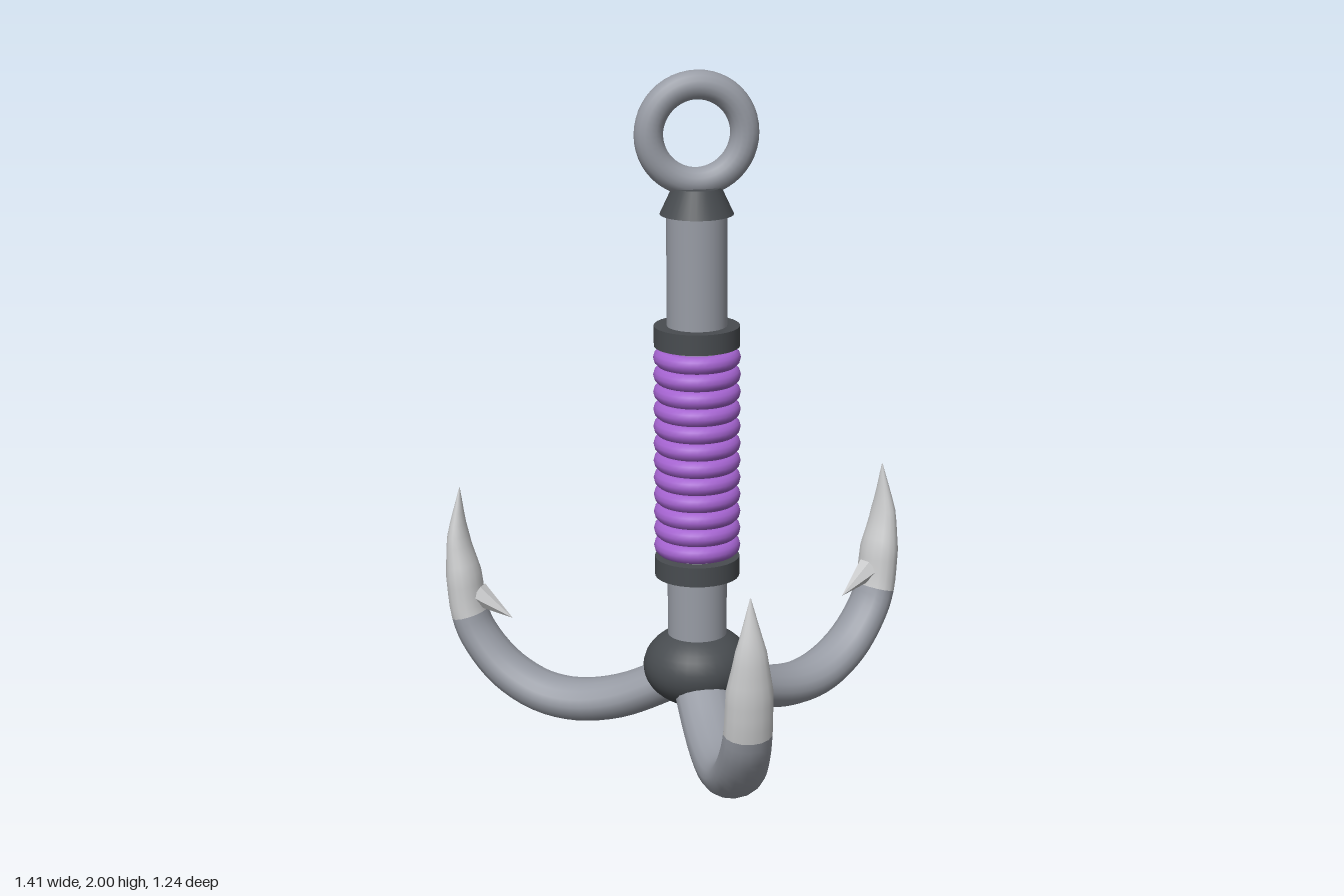
import * as THREE from 'three';

const mat = (name, color, extra = {}) => {
  const m = new THREE.MeshStandardMaterial({ color, ...extra });
  m.name = name;
  return m;
};

// Prong stations: [radial distance, height, half thickness, half width]
const PRONG = [
  [0.00, 0.225, 0.064, 0.084], [0.13, 0.150, 0.064, 0.084], [0.25, 0.095, 0.064, 0.083],
  [0.38, 0.068, 0.063, 0.081], [0.50, 0.080, 0.062, 0.079], [0.61, 0.136, 0.060, 0.076],
  [0.69, 0.220, 0.057, 0.072], [0.732, 0.305, 0.055, 0.069], [0.750, 0.43, 0.052, 0.066],
  [0.765, 0.55, 0.031, 0.044], [0.757, 0.70, 0.001, 0.001],
];
const TIP_START = 7;

// Elliptical tube through the stations, between two station indices
function loft(from, to, perStation = 4, sides = 16) {
  const path = new THREE.CatmullRomCurve3(PRONG.map(p => new THREE.Vector3(p[0], p[1], 0)), false, 'catmullrom');
  const rows = (to - from) * perStation, last = PRONG.length - 1;
  const pos = [], index = [];
  for (let i = 0; i <= rows; i++) {
    const s = from + i / perStation, k = Math.min(Math.floor(s), last - 1), f = s - k;
    const p = path.getPoint(s / last), t = path.getTangent(s / last);
    const n = THREE.MathUtils.lerp(PRONG[k][2], PRONG[k + 1][2], f);
    const w = THREE.MathUtils.lerp(PRONG[k][3], PRONG[k + 1][3], f);
    for (let j = 0; j < sides; j++) {
      const a = j / sides * Math.PI * 2, c = n * Math.cos(a);
      pos.push(p.x - t.y * c, p.y + t.x * c, w * Math.sin(a));
      if (i === rows) continue;
      const a0 = i * sides + j, b0 = i * sides + (j + 1) % sides;
      index.push(a0, b0, a0 + sides, b0, b0 + sides, a0 + sides);
    }
  }
  const g = new THREE.BufferGeometry();
  g.setAttribute('position', new THREE.Float32BufferAttribute(pos, 3));
  g.setIndex(index);
  g.computeVertexNormals();
  return g;
}

export function createModel() {
  const steel = mat('steel', 0x989ca5);
  const dark = mat('dark iron', 0x484c50);
  const wrap = mat('purple wrap', 0xa463cf);
  const bright = mat('sharpened steel', 0xcbcccd);
  const bladed = mat('barb steel', 0xcbcccd, { flatShading: true });
  bladed.color = bright.color;

  const model = new THREE.Group();
  model.name = 'grapplingHook';
  const body = new THREE.Group();
  body.name = 'body';
  body.position.z = -0.185;
  model.add(body);

  const add = (name, geo, material, y = 0, parent = body) => {
    const m = new THREE.Mesh(geo, material);
    m.name = name;
    m.position.y = y;
    parent.add(m);
    return m;
  };
  const band = (name, rTop, rBottom, y0, y1, material) =>
    add(name, new THREE.CylinderGeometry(rTop, rBottom, y1 - y0, 32), material, (y0 + y1) / 2);

  // Shaft with its collars and hub
  band('shaft', 0.087, 0.087, 0.25, 1.62, steel);
  band('topCap', 0.07, 0.106, 1.59, 1.667, dark);
  band('upperCollar', 0.124, 0.124, 1.205, 1.265, dark);
  band('lowerCollar', 0.124, 0.124, 0.512, 0.57, dark);
  add('hub', new THREE.SphereGeometry(0.16, 32, 20), dark, 0.228).scale.y = 0.75;

  // Rope eye
  add('eyeRing', new THREE.TorusGeometry(0.138, 0.042, 16, 48), steel, 1.82);

  // Wrapped grip
  for (let i = 0; i < 12; i++) {
    add('gripCoil', new THREE.TorusGeometry(0.1, 0.0265, 12, 36), wrap, 0.603 + i * 0.0516).rotation.x = Math.PI / 2;
  }

  // Three prongs with sharpened tips and barbs
  const armGeo = loft(0, TIP_START);
  const tipGeo = loft(TIP_START, PRONG.length - 1);
  const base = new THREE.Vector3(0.705, 0.368, 0), point = new THREE.Vector3(0.592, 0.303, 0);
  const dir = point.clone().sub(base);
  const barbGeo = new THREE.ConeGeometry(0.038, dir.length(), 6);
  for (const angle of [-Math.PI / 2, Math.PI / 6, Math.PI * 5 / 6]) {
    const prong = new THREE.Group();
    prong.name = 'prong';
    prong.rotation.y = angle;
    body.add(prong);
    add('prongArm', armGeo, steel, 0, prong);
    add('prongTip', tipGeo, bright, 0, prong);
    const barb = add('barb', barbGeo, bladed, 0, prong);
    barb.position.copy(base).add(point).multiplyScalar(0.5);
    barb.quaternion.setFromUnitVectors(new THREE.Vector3(0, 1, 0), dir.clone().normalize());
  }
  return model;
}
